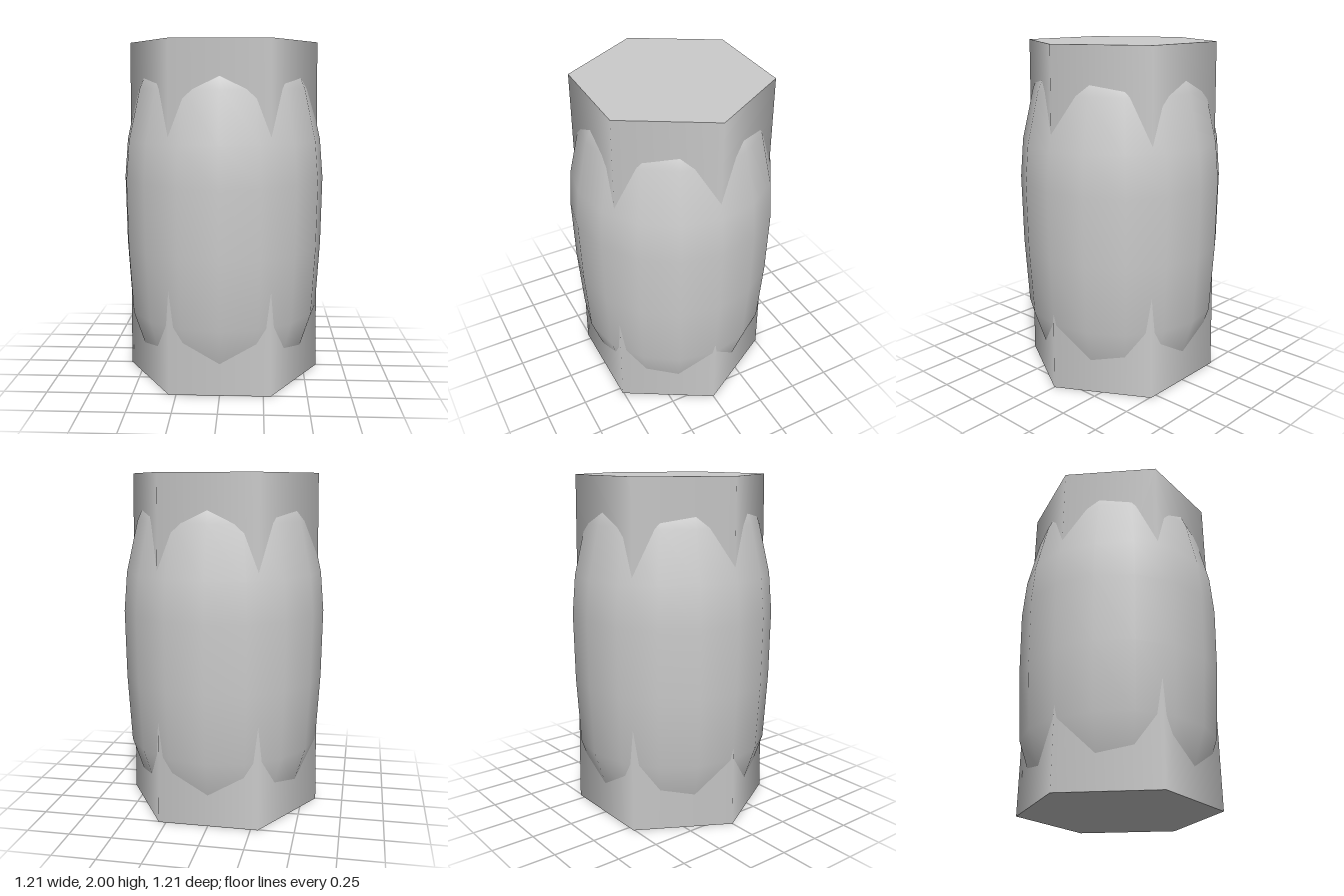
import * as THREE from 'three';

export function createModel() {
  const group = new THREE.Group();
  const material = new THREE.MeshStandardMaterial({ color: 0xcccccc });

  // Slightly tapered hexagonal core with corners on the x axis
  const core = new THREE.Mesh(
    new THREE.CylinderGeometry(0.556, 0.585, 2, 6, 1, false, Math.PI / 2), material);
  core.name = 'hexCore';
  core.position.y = 1;
  group.add(core);

  // Sixteen-sided bulging sleeve; its narrow ends run inside the core
  const profile = [
    [0.45, 0.03], [0.505, 0.19], [0.574, 0.4], [0.597, 0.8], [0.603, 1.2],
    [0.583, 1.43], [0.514, 1.73], [0.484, 1.8], [0.4, 1.97],
  ].map(([r, y]) => new THREE.Vector2(r, y));
  const sleeve = new THREE.Mesh(new THREE.LatheGeometry(profile, 16), material);
  sleeve.name = 'bulgingSleeve';
  group.add(sleeve);

  return group;
}
